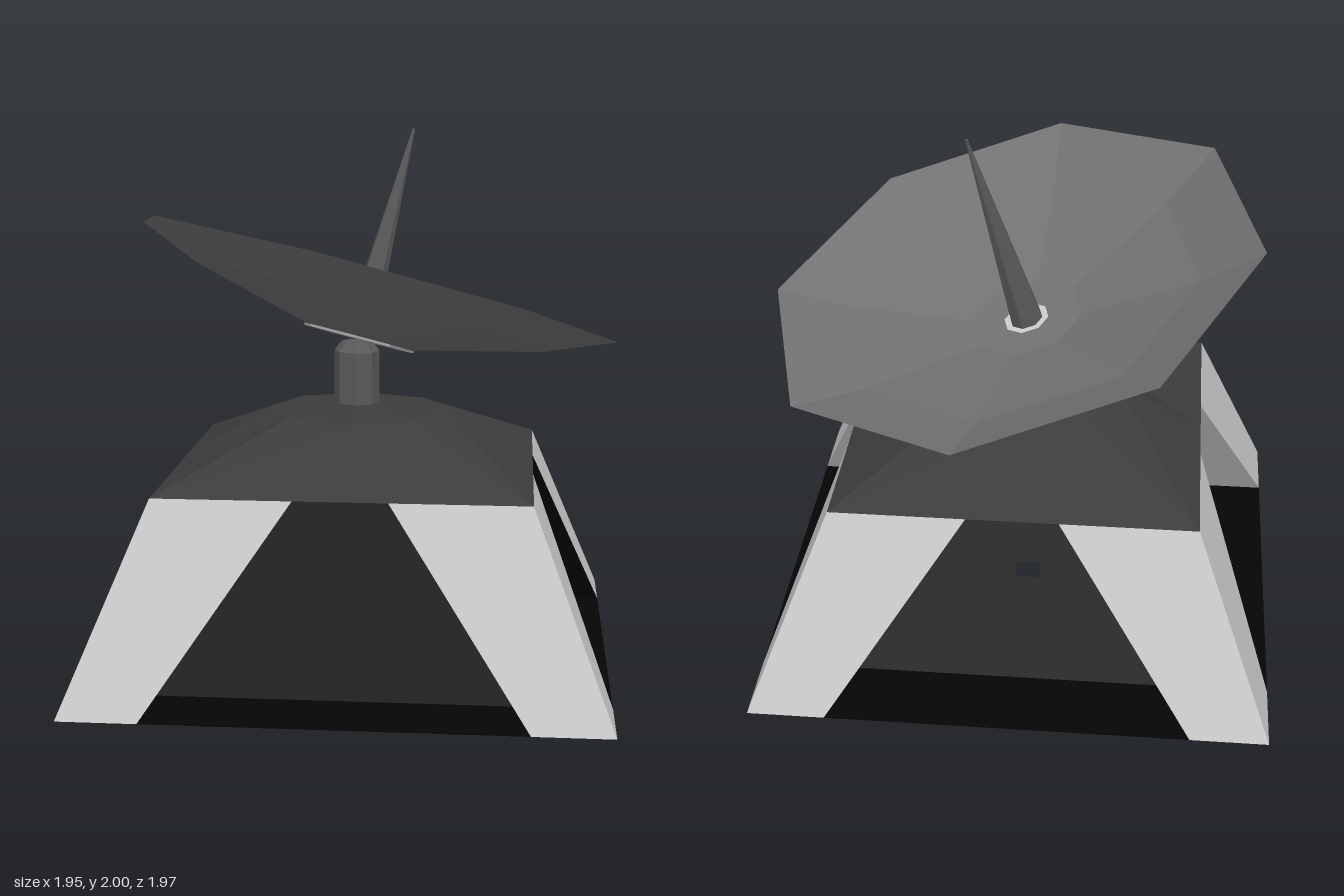
import * as THREE from 'three';

const mat = (color) => new THREE.MeshStandardMaterial({ color, flatShading: true, side: THREE.DoubleSide });

// Closed solid through rings of [x, y, z] points, each ring counter-clockwise from above, bottom ring first
function loft(rings) {
  const p = [];
  const tri = (...c) => c.forEach((v) => p.push(...v));
  const n = rings[0].length;
  for (let r = 0; r + 1 < rings.length; r++) {
    for (let i = 0; i < n; i++) {
      const j = (i + 1) % n, lo = rings[r], hi = rings[r + 1];
      tri(lo[i], lo[j], hi[j]);
      tri(lo[i], hi[j], hi[i]);
    }
  }
  const top = rings[rings.length - 1], bottom = rings[0];
  for (let i = 1; i + 1 < n; i++) {
    tri(top[0], top[i], top[i + 1]);
    tri(bottom[0], bottom[i + 1], bottom[i]);
  }
  const g = new THREE.BufferGeometry();
  g.setAttribute('position', new THREE.Float32BufferAttribute(p, 3));
  g.computeVertexNormals();
  return g;
}

const square = (a, b, y) => [[a, y, b], [b, y, b], [b, y, a], [a, y, a]];
const octagon = (r, y) => Array.from({ length: 8 }, (_, i) => {
  const t = (i * Math.PI) / 4;
  return [r * Math.sin(t), y, r * Math.cos(t)];
});

export function createModel() {
  const model = new THREE.Group();
  const add = (parent, name, geometry, material) => {
    const mesh = new THREE.Mesh(geometry, material);
    mesh.name = name;
    parent.add(mesh);
    return mesh;
  };
  const light = mat(0xcccccc), black = mat(0x050505), dark = mat(0x1f1f1f), floorGrey = mat(0x2a2a2a);
  const roofGrey = mat(0x3c3c3c), metal = mat(0x5a5a5a), dishGrey = mat(0x727272);

  const OUT = 0.968, IN = 0.678, SLOT = 0.17, H = 0.73;
  const base = new THREE.Group();
  base.name = 'base';
  base.position.set(-0.008, 0, 0.016);
  model.add(base);

  // Four splayed corner legs (inner sides facing front or left are black), floor strips between them
  const legGeo = loft([square(IN, OUT, 0), square(SLOT, IN, H)]);
  legGeo.addGroup(0, 12, 0);
  legGeo.addGroup(12, 6, 1);
  legGeo.addGroup(18, 6, 2);
  legGeo.addGroup(24, 12, 0);
  const stripGeo = new THREE.PlaneGeometry(IN * 2, OUT - IN).rotateX(-Math.PI / 2).translate(0, 0, (OUT + IN) / 2);
  for (let i = 0; i < 4; i++) {
    const sides = [light, i >= 2 ? black : light, i === 1 || i === 2 ? black : light];
    add(base, 'cornerLeg', legGeo, sides).rotation.y = (i * Math.PI) / 2;
    add(base, 'floorStrip', stripGeo, black).rotation.y = (i * Math.PI) / 2;
  }

  // Inner floor with a small central opening
  const corners = (s) => [[-s, -s], [s, -s], [s, s], [-s, s]].map((c) => new THREE.Vector2(...c));
  const floor = new THREE.Shape(corners(IN));
  floor.holes.push(new THREE.Path(corners(0.05).reverse()));
  add(base, 'innerFloor', new THREE.ShapeGeometry(floor).rotateX(-Math.PI / 2), floorGrey);

  // Sloping inner walls closing the front and left openings
  const wall = new THREE.PlaneGeometry(1, H);
  const wp = wall.attributes.position;
  for (let i = 0; i < 4; i++) {
    const w = wp.getY(i) > 0 ? SLOT : IN;
    wp.setXYZ(i, Math.sign(wp.getX(i)) * w, wp.getY(i) + H / 2, w);
  }
  wall.computeVertexNormals();
  add(base, 'frontWall', wall, dark);
  add(base, 'leftWall', wall, dark).rotation.y = Math.PI / 2;

  // Faceted roof running from a square to an octagon
  const eaves = [[0, 1], [1, 1], [1, 0], [1, -1], [0, -1], [-1, -1], [-1, 0], [-1, 1]].map(([x, z]) => [x * IN, H, z * IN]);
  add(base, 'roof', loft([eaves, octagon(0.34, 0.94), octagon(0.09, 0.965)]), roofGrey);

  // Octagonal mast with a tapered head
  add(base, 'mast', loft([octagon(0.087, 0.95), octagon(0.087, 1.165), octagon(0.06, 1.2)]), metal);

  // Tilted dish assembly
  const axis = new THREE.Vector3(0.241, 0.954, -0.176).normalize();
  const toRim = new THREE.Vector3(-0.74, 0.288, 0.547);
  const side = new THREE.Vector3().crossVectors(axis, toRim).normalize();
  toRim.crossVectors(side, axis);
  const dish = new THREE.Group();
  dish.name = 'dishAssembly';
  dish.quaternion.setFromRotationMatrix(new THREE.Matrix4().makeBasis(side, axis, toRim));
  dish.position.set(-0.004, 1.21, -0.012);
  model.add(dish);

  const profile = [[0, 0], [0.22, 0.005], [0.7, 0.122], [0.963, 0.227]];
  add(dish, 'dish', new THREE.LatheGeometry(profile.map((c) => new THREE.Vector2(...c)), 8), dishGrey);
  add(dish, 'dishMount', loft([octagon(0.22, -0.006), octagon(0.225, 0.002)]), light);
  add(dish, 'spike', new THREE.CylinderGeometry(0.005, 0.064, 0.83, 8).translate(0, 0.413, 0), metal);

  return model;
}
